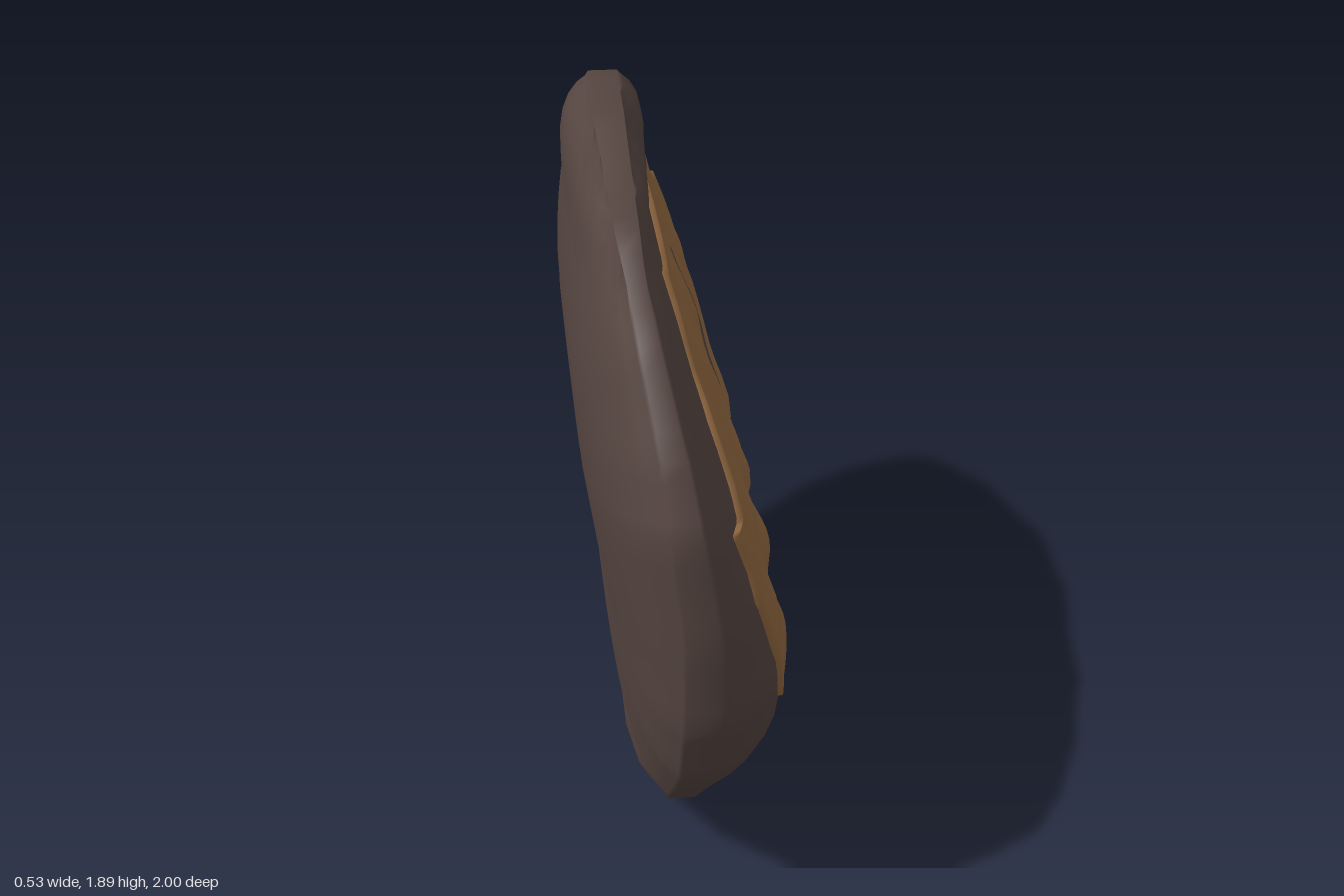
import * as THREE from 'three';

const CENTRE = [0, 1];
// all loops are [z, y], counter-clockwise as seen from +x
const OUTLINE = [[.11, 1.89], [-.25, 1.87], [-.63, 1.72], [-.89, 1.46], [-.95, 1.35], [-1, 1.05], [-.98, .82],
  [-.89, .58], [-.78, .41], [-.6, .24], [-.4, .08], [-.19, 0], [.17, .01], [.35, .06], [.57, .19], [.76, .38],
  [.88, .51], [.97, .72], [1, .97], [1, 1.25], [.93, 1.41], [.78, 1.61], [.53, 1.77], [.35, 1.8]].reverse();
const FILLING = [[.9, 1.2], [.83, 1.2], [.7, 1.38], [.58, 1.45], [.5, 1.58], [.46, 1.63], [.3, 1.6], [.06, 1.64],
  [-.1, 1.71], [-.22, 1.73], [-.27, 1.68], [-.32, 1.59], [-.52, 1.6], [-.6, 1.45], [-.74, 1.4], [-.8, 1.25],
  [-.86, 1.05], [-.82, .85], [-.7, .6], [-.55, .5], [-.42, .4], [-.2, .39], [-.02, .36], [.1, .32], [.2, .29],
  [.28, .32], [.32, .38], [.34, .45], [.55, .47], [.56, .53], [.72, .62], [.8, .8], [.87, 1], [.87, 1.08]].reverse();
const SLIT = [[-.08, 1.04], [-.15, 1.06], [-.2, 1.12], [-.27, 1.19], [-.3, 1.36], [-.26, 1.37], [-.19, 1.22], [-.1, 1.13]];

// tilted middle surface, and the depth of the front and back by height
const MID = [[0, -.02], [.6, 0], [1, .01], [1.4, -.04], [1.9, -.15]];
const FRONT = [[0, .22], [.1, .17], [.28, .225], [.4, .255], [.6, .255], [.75, .235], [1, .165], [1.25, .09],
  [1.45, .01], [1.7, -.06], [1.9, .05]];
const BACK = [[0, -.26], [.2, -.17], [.4, -.18], [.8, -.205], [1.1, -.25], [1.36, -.275], [1.65, -.285], [1.9, -.38]];

function sample(table, y) {
  for (let i = 1; i < table.length; i++) {
    const [y0, v0] = table[i - 1], [y1, v1] = table[i];
    if (y <= y1) return v0 + (v1 - v0) * Math.max(0, (y - y0) / (y1 - y0));
  }
  return table[table.length - 1][1];
}

// 0 at the centre, 1 on the outline
function rimFraction(z, y) {
  const pz = z - CENTRE[0], py = y - CENTRE[1];
  let t = 0;
  OUTLINE.forEach(([az, ay], i) => {
    const [bz, by] = OUTLINE[(i + 1) % OUTLINE.length];
    const nz = by - ay, ny = az - bz;
    t = Math.max(t, (pz * nz + py * ny) / ((az - CENTRE[0]) * nz + (ay - CENTRE[1]) * ny));
  });
  return Math.min(1, t);
}

function surfaceX(table, power, z, y) {
  const s = Math.max(.18, Math.sqrt(1 - Math.pow(rimFraction(z, y), power)));
  const mid = sample(MID, y) - .025 * z;
  return mid + (sample(table, y) - mid) * s;
}
// the front is slightly dished inside the rim
const frontX = (z, y) => surfaceX(FRONT, 5, z, y)
  - .025 * (1 - THREE.MathUtils.smoothstep(rimFraction(z, y), .45, .9));
const backX = (z, y) => surfaceX(BACK, 4, z, y);

// crusty lumps, stronger towards the bottom and fading out at the rim
function lumps(z, y) {
  const wave = Math.sin(13 * z + 2 * y) * Math.sin(15 * y - 3 * z) + .6 * Math.sin(27 * z + 1) * Math.sin(23 * y + 9 * z);
  return .018 * wave * THREE.MathUtils.clamp(1.6 - y, .4, 1) * THREE.MathUtils.clamp(4 * (.85 - rimFraction(z, y)), 0, 1);
}
const fillingX = (z, y) => frontX(z, y) + Math.max(.007, .012 + lumps(z, y));

function subdivide(loop, n) {
  return loop.flatMap(([z, y], i) => {
    const [bz, by] = loop[(i + 1) % loop.length];
    return Array.from({ length: n }, (_, k) => [z + (bz - z) * k / n, y + (by - y) * k / n]);
  });
}

// scaled copies of a loop laid on a surface
function ring(loop, centre, t, depth) {
  return loop.map(([z, y]) => {
    const pz = centre[0] + (z - centre[0]) * t, py = centre[1] + (y - centre[1]) * t;
    return [depth(pz, py), py, pz];
  });
}

function loft(rings) {
  const n = rings[0].length, index = [];
  for (let r = 0; r < rings.length - 1; r++) {
    for (let i = 0; i < n; i++) {
      const j = (i + 1) % n, a = r * n, b = a + n;
      index.push(a + i, b + i, b + j, a + i, b + j, a + j);
    }
  }
  const geometry = new THREE.BufferGeometry();
  geometry.setAttribute('position', new THREE.Float32BufferAttribute(rings.flat(2), 3));
  geometry.setIndex(index);
  geometry.computeVertexNormals();
  return geometry;
}

export function createModel() {
  const group = new THREE.Group();
  const crustMaterial = new THREE.MeshStandardMaterial({ color: 0x554540 });
  crustMaterial.name = 'dark crust';
  const fillingMaterial = new THREE.MeshStandardMaterial({ color: 0x936940 });
  fillingMaterial.name = 'brown filling';

  const add = (name, geometry, material) => {
    const mesh = new THREE.Mesh(geometry, material);
    mesh.name = name;
    group.add(mesh);
  };

  // rounded crust: front from centre to rim, then back to the centre
  const steps = [0, .1, .2, .3, .4, .5, .56, .62, .67, .73, .79, .85, .9, .94, .97, .987, 1];
  const outline = subdivide(OUTLINE, 4);
  add('crust', loft([
    ...steps.map(t => ring(outline, CENTRE, t, frontX)),
    ...steps.slice().reverse().map(t => ring(outline, CENTRE, t, backX)),
  ]), crustMaterial);

  // lumpy filling with a ragged edge
  const edge = subdivide(FILLING, 3);
  const rings = Array.from({ length: 31 }, (_, i) => ring(edge, CENTRE, i / 30, fillingX));
  rings.push(ring(edge, CENTRE, 1, (z, y) => frontX(z, y) - .01));
  add('filling', loft(rings), fillingMaterial);

  // dark slit in the filling
  const slit = subdivide(SLIT, 4);
  add('slit', loft([0, .25, .5, .75, 1].map(t =>
    ring(slit, [-.2, 1.17], t, (z, y) => fillingX(z, y) + .006))), crustMaterial);

  return group;
}
